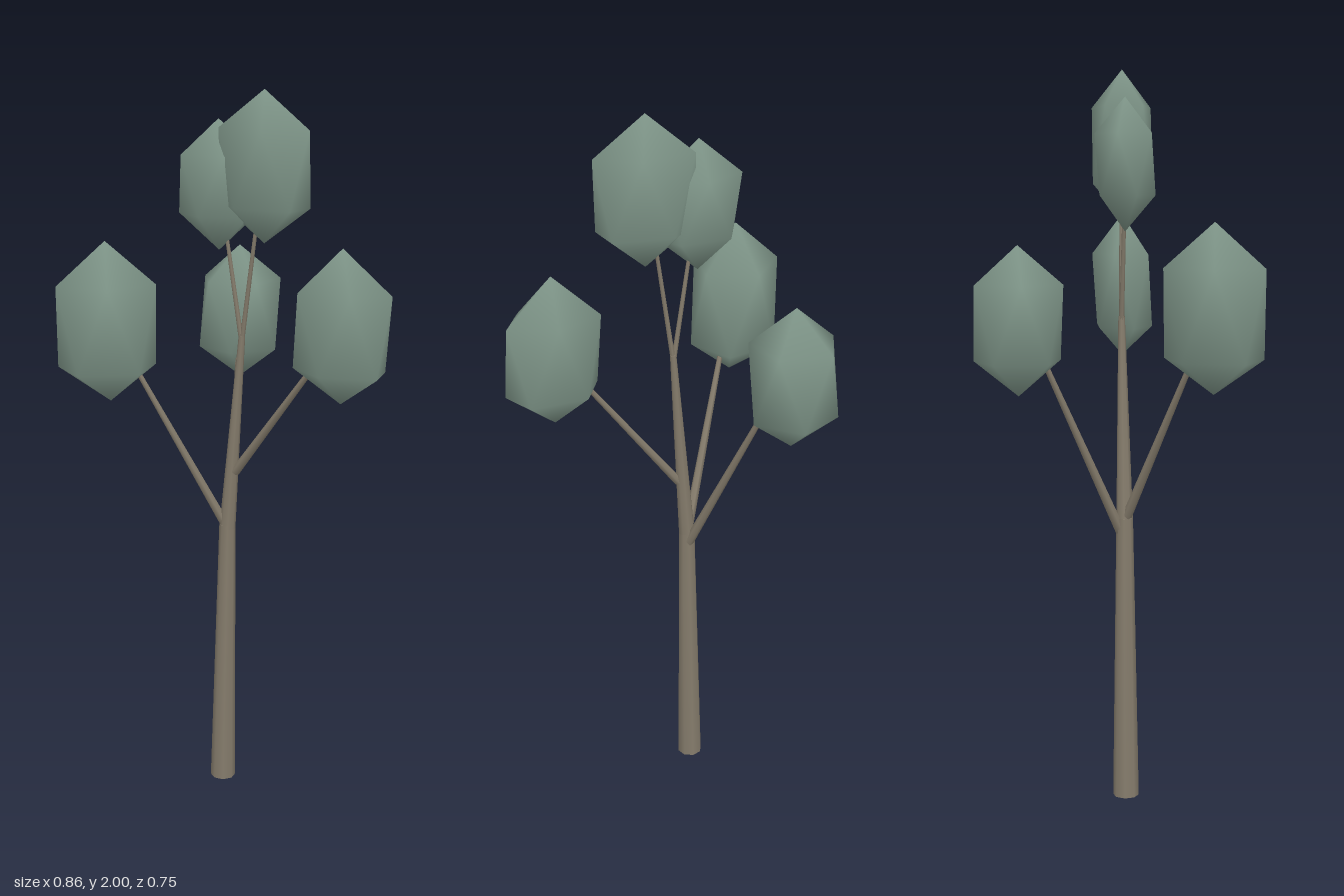
import * as THREE from 'three';

const bark = new THREE.MeshStandardMaterial({ color: 0x857c6c });
bark.name = 'bark';
const foliage = new THREE.MeshStandardMaterial({ color: 0x80978a });
foliage.name = 'foliage';

// Tapered limb between two points
function limb(name, from, to, r0, r1, sides) {
  const a = new THREE.Vector3(...from), b = new THREE.Vector3(...to);
  const dir = b.clone().sub(a);
  const mesh = new THREE.Mesh(new THREE.CylinderGeometry(r1, r0, dir.length(), sides), bark);
  mesh.position.copy(a).add(b).multiplyScalar(0.5);
  mesh.quaternion.setFromUnitVectors(new THREE.Vector3(0, 1, 0), dir.normalize());
  mesh.name = name;
  return mesh;
}

// Leaf clump: two staggered five-sided rings closed by a top and a bottom point
function clump({ name, centre: [cx, cz], top, bottom, upper, lower, rx, rz, yaw, phase, drift = 0 }) {
  const rad = Math.PI / 180, c = Math.cos(yaw * rad), s = Math.sin(yaw * rad);
  const pos = [cx, top, cz, cx + drift, bottom, cz];
  for (const [y, turn] of [[upper, 36], [lower, 0]]) {
    for (let i = 0; i < 5; i++) {
      const t = (phase + turn + i * 72) * rad;
      const u = rx * Math.cos(t), v = rz * Math.sin(t);
      pos.push(cx + u * c - v * s, y, cz + u * s + v * c);
    }
  }
  const index = [];
  for (let i = 0; i < 5; i++) {
    const j = (i + 1) % 5, u0 = 2 + i, u1 = 2 + j, l0 = 7 + i, l1 = 7 + j;
    index.push(0, u1, u0, u0, l1, l0, u0, u1, l1, 1, l0, l1);
  }
  const geo = new THREE.BufferGeometry();
  geo.setAttribute('position', new THREE.Float32BufferAttribute(pos, 3));
  geo.setIndex(index);
  geo.computeVertexNormals();
  const mesh = new THREE.Mesh(geo, foliage);
  mesh.name = name;
  return mesh;
}

export function createModel() {
  const tree = new THREE.Group();
  tree.name = 'tree';

  // Trunk and its thinner upper part
  tree.add(
    limb('trunk', [-0.106, 0, 0.005], [-0.088, 0.79, 0], 0.036, 0.023, 8),
    limb('upperTrunk', [-0.088, 0.78, 0], [-0.041, 1.34, -0.012], 0.023, 0.009, 8),
  );

  // Branches
  tree.add(
    limb('frontBranch', [-0.09, 0.78, 0], [-0.255, 1.26, 0.195], 0.014, 0.007, 6),
    limb('backBranch', [-0.09, 0.75, -0.01], [-0.245, 1.26, -0.21], 0.014, 0.007, 6),
    limb('leftBranch', [-0.06, 0.95, -0.003], [0.22, 1.31, -0.035], 0.013, 0.007, 6),
    limb('topLeftTwig', [-0.042, 1.32, -0.012], [0.012, 1.67, -0.017], 0.007, 0.005, 6),
    limb('topRightTwig', [-0.042, 1.32, -0.012], [-0.092, 1.64, 0], 0.007, 0.005, 6),
  );

  // Leaf clumps
  const clumps = [
    { name: 'frontLeaves', centre: [-0.306, 0.245], top: 1.6, bottom: 1.16, upper: 1.485, lower: 1.25,
      rx: 0.142, rz: 0.123, yaw: 125, phase: 22, drift: 0.01 },
    { name: 'backLeaves', centre: [-0.288, -0.26], top: 1.54, bottom: 1.15, upper: 1.44, lower: 1.24,
      rx: 0.12, rz: 0.12, yaw: 0, phase: 59 },
    { name: 'leftLeaves', centre: [0.294, -0.037], top: 1.61, bottom: 1.2, upper: 1.495, lower: 1.285,
      rx: 0.138, rz: 0.086, yaw: -14, phase: 28 },
    { name: 'topLeftLeaves', centre: [0.037, -0.017], top: 2, bottom: 1.6, upper: 1.9, lower: 1.695,
      rx: 0.143, rz: 0.085, yaw: -6, phase: 34 },
    { name: 'topRightLeaves', centre: [-0.112, 0.003], top: 1.92, bottom: 1.57, upper: 1.825, lower: 1.665,
      rx: 0.122, rz: 0.08, yaw: -12, phase: 25 },
  ];
  for (const c of clumps) tree.add(clump(c));
  return tree;
}
